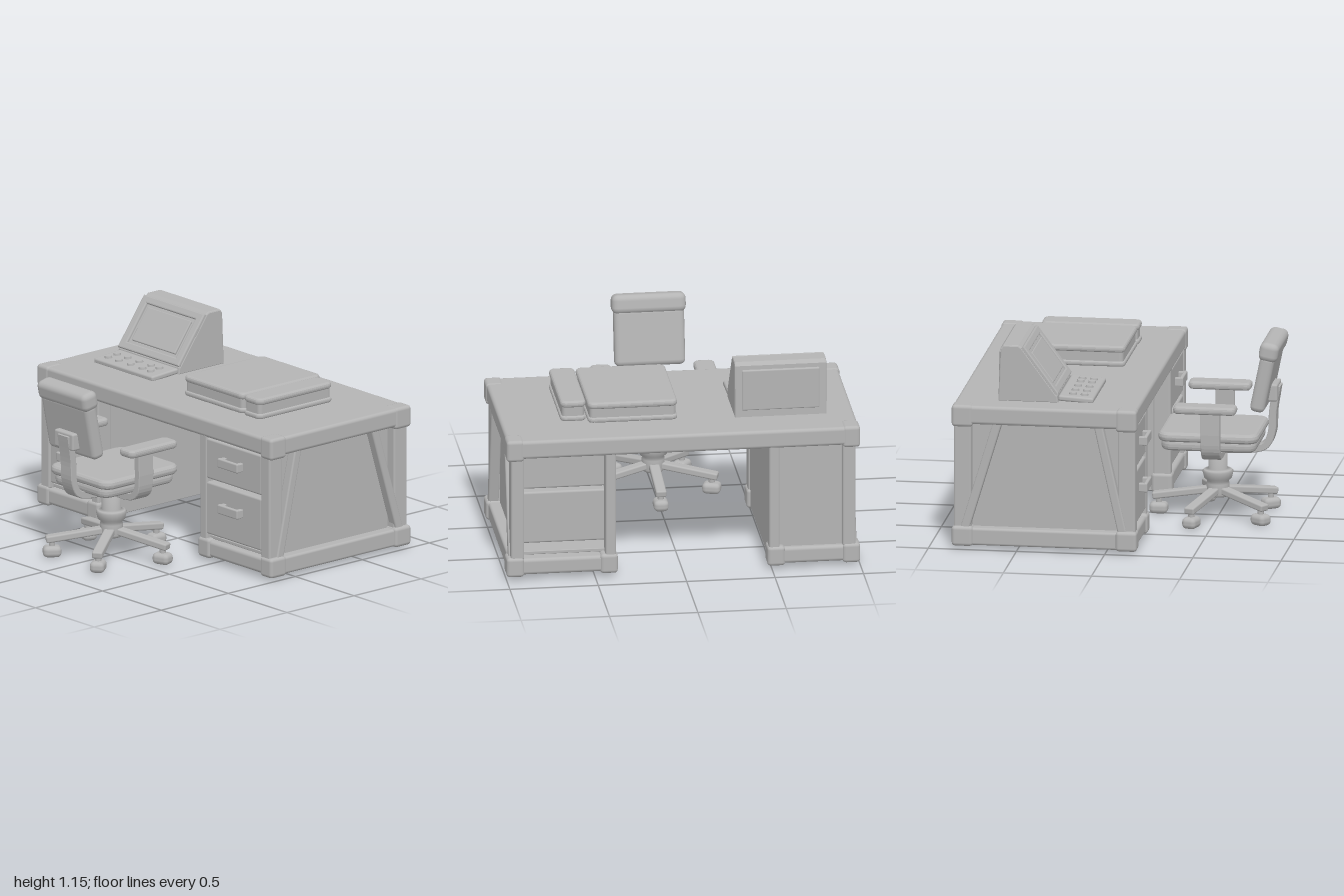
import * as THREE from 'three';
import { RoundedBoxGeometry } from 'three/addons/geometries/RoundedBoxGeometry.js';

const grey = new THREE.MeshStandardMaterial({ color: 0xb4b4b4 });
grey.name = 'plain grey';

function add(parent, name, geometry) {
  const mesh = new THREE.Mesh(geometry, grey);
  mesh.name = name;
  parent.add(mesh);
  return mesh;
}

function group(parent, name) {
  const g = new THREE.Group();
  g.name = name;
  parent.add(g);
  return g;
}

// Box given by its limits on each axis, with softened edges
function block(parent, name, [x0, x1], [y0, y1], [z0, z1], r = 0.012) {
  const w = x1 - x0, h = y1 - y0, d = z1 - z0;
  const radius = Math.min(r, Math.min(w, h, d) * 0.49);
  const mesh = add(parent, name, new RoundedBoxGeometry(w, h, d, 2, radius));
  mesh.position.set((x0 + x1) / 2, (y0 + y1) / 2, (z0 + z1) / 2);
  return mesh;
}

// Horizontal slab with corners of radius r in plan and a soft rim
function slab(parent, name, [x0, x1], [y0, y1], [z0, z1], r, rim) {
  const w = (x1 - x0) / 2 - rim, d = (z1 - z0) / 2 - rim;
  const shape = new THREE.Shape();
  [[w - r, d - r, 0], [r - w, d - r, 1], [r - w, r - d, 2], [w - r, r - d, 3]].forEach(([x, z, q]) =>
    shape.absarc(x, z, r, q * Math.PI / 2, (q + 1) * Math.PI / 2, false));
  const geo = new THREE.ExtrudeGeometry(shape, {
    depth: y1 - y0 - 2 * rim, bevelSize: rim, bevelThickness: rim, bevelSegments: 3, curveSegments: 5 });
  geo.rotateX(-Math.PI / 2);
  add(parent, name, geo).position.set((x0 + x1) / 2, y0 + rim, (z0 + z1) / 2);
}

// Rectangular bar between two points
function bar(parent, name, a, b, w, t) {
  const from = new THREE.Vector3(...a), to = new THREE.Vector3(...b);
  const mesh = add(parent, name, new RoundedBoxGeometry(w, t, from.distanceTo(to), 2, 0.01));
  mesh.position.copy(from).add(to).multiplyScalar(0.5);
  mesh.quaternion.setFromRotationMatrix(new THREE.Matrix4().lookAt(to, from, new THREE.Vector3(0, 1, 0)));
}

// Flat strap of given width following points in a plane
function strap(parent, name, points, thickness, width) {
  const curve = new THREE.CatmullRomCurve3(points.map(([u, v]) => new THREE.Vector3(u, v, 0)), false, 'centripetal');
  const outer = [], inner = [];
  for (let i = 0; i <= 24; i++) {
    const p = curve.getPoint(i / 24), t = curve.getTangent(i / 24);
    outer.push(new THREE.Vector2(p.x - t.y * thickness / 2, p.y + t.x * thickness / 2));
    inner.unshift(new THREE.Vector2(p.x + t.y * thickness / 2, p.y - t.x * thickness / 2));
  }
  const geo = new THREE.ExtrudeGeometry(new THREE.Shape([...outer, ...inner]), {
    depth: width, bevelSize: 0.004, bevelThickness: 0.004, bevelSegments: 1 });
  geo.translate(0, 0, -width / 2);
  return add(parent, name, geo);
}

// Drawer pedestal between x = inner and x = outer
function pedestal(parent, name, inner, outer, closedBack) {
  const g = group(parent, name), s = Math.sign(outer);
  const span = (p, q) => [Math.min(p, q), Math.max(p, q)];
  for (const z of [[-0.87, -0.75], [0.06, 0.18]]) {
    const depth = [z[0] + 0.01, z[1] - 0.01];
    block(g, 'footBlock', span(inner, inner + s * 0.1), [0.02, 0.135], z, 0.02);
    block(g, 'footBlock', span(outer, outer - s * 0.1), [0.02, 0.135], z, 0.02);
    block(g, 'cornerPost', span(inner + s * 0.01, inner + s * 0.07), [0.12, 0.74], depth);
    block(g, 'cornerPost', span(outer - s * 0.025, outer - s * 0.1), [0.12, 0.74], depth);
    block(g, 'bottomRail', span(inner + s * 0.05, outer - s * 0.05), [0.03, 0.125], depth, 0.02);
  }
  block(g, 'sideRail', span(outer - s * 0.09, outer - s * 0.015), [0.025, 0.125], [-0.8, 0.1], 0.015);

  // Splayed braces outside the recessed panel
  bar(g, 'frontBrace', [outer - s * 0.045, 0.11, 0.1], [outer - s * 0.045, 0.74, -0.04], 0.06, 0.05);
  bar(g, 'backBrace', [outer - s * 0.045, 0.11, -0.8], [outer - s * 0.045, 0.74, -0.61], 0.06, 0.05);
  const p0 = inner + s * 0.05, p1 = outer - s * 0.1;
  block(g, 'outerPanel', span(p1, p1 + s * 0.02), [0.03, 0.74], [-0.84, 0.15], 0.004);
  block(g, 'innerPanel', span(inner + s * 0.02, p0), [0.03, 0.74], [-0.84, 0.15], 0.004);
  block(g, 'floor', span(p0, p1), [0.13, 0.15], [-0.8, 0.14], 0.004);
  if (closedBack) block(g, 'backPanel', span(p0, p1), [0.05, 0.74], [-0.83, -0.81], 0.004);

  // Drawers with bridge handles
  const mid = (p0 + p1) / 2;
  for (const [y0, y1, h] of [[0.16, 0.465, 0.345], [0.485, 0.72, 0.615]]) {
    block(g, 'drawer', span(p0, p1), [y0, y1], [-0.7, 0.165]);
    block(g, 'drawerHandle', [mid - 0.085, mid + 0.085], [h - 0.027, h + 0.027], [0.19, 0.212], 0.008);
    for (const e of [-0.07, 0.07])
      block(g, 'handleMount', [mid + e - 0.015, mid + e + 0.015], [h - 0.024, h + 0.024], [0.15, 0.2], 0.005);
  }
}

function desk(parent) {
  const g = group(parent, 'desk');
  block(g, 'deskTop', [-0.995, 0.995], [0.725, 0.832], [-0.868, 0.175], 0.02);
  for (const x of [[-1, -0.9], [0.9, 1]])
    for (const z of [[-0.87, -0.75], [0.06, 0.18]])
      block(g, 'topCornerBlock', x, [0.71, 0.836], z, 0.02);
  pedestal(g, 'rightPedestal', -0.475, -1, true);
  pedestal(g, 'leftPedestal', 0.37, 1, false);
}

function terminal(parent) {
  const g = group(parent, 'terminal');
  // Wedge-shaped housing, profile in z and y
  const profile = new THREE.Shape();
  [[-0.295, 0.835], [-0.3, 0.865], [-0.5, 1.135], [-0.515, 1.145], [-0.595, 1.145], [-0.608, 1.13], [-0.62, 0.835]]
    .forEach(([z, y], i) => (i ? profile.lineTo(z, y) : profile.moveTo(z, y)));
  const geo = new THREE.ExtrudeGeometry(profile, { depth: 0.5, bevelSize: 0.008, bevelThickness: 0.01, bevelSegments: 2 });
  geo.translate(0, 0, -0.25).rotateY(-Math.PI / 2);
  add(g, 'housing', geo).position.x = -0.58;

  // Full-width bezel around a recess that holds the screen
  const face = group(g, 'screenFace');
  face.position.set(-0.58, 1.005, -0.397);
  face.rotation.x = -0.637;
  const rect = (P, w, h) => new P([[-w, -h], [w, -h], [w, h], [-w, h]].map(([x, y]) => new THREE.Vector2(x, y)));
  const frame = rect(THREE.Shape, 0.25, 0.158);
  frame.holes.push(rect(THREE.Path, 0.215, 0.13));
  add(face, 'bezel', new THREE.ExtrudeGeometry(frame, {
    depth: 0.012, bevelSize: 0.008, bevelThickness: 0.006, bevelSegments: 2 }));
  block(face, 'screen', [-0.185, 0.185], [-0.105, 0.105], [0, 0.016], 0.006);
  block(g, 'backPlate', [-0.8, -0.36], [0.87, 1.11], [-0.63, -0.605], 0.008);

  // Keypad with two rows of round keys
  const pad = group(g, 'keypad');
  pad.position.set(-0.57, 0.85, -0.19);
  pad.rotation.x = 0.06;
  block(pad, 'keypadBase', [-0.25, 0.25], [-0.02, 0.013], [-0.1, 0.1]);
  for (const x of [-0.19, -0.1, 0, 0.1, 0.17])
    for (const z of [-0.025, 0.04])
      add(pad, 'key', new THREE.CylinderGeometry(0.02, 0.024, 0.02, 14)).position.set(x, 0.015, z);
}

function cases(parent) {
  const g = group(parent, 'deskCases');
  for (const [x0, x1, z0, z1] of [[0.003, 0.51, -0.63, -0.035], [0.515, 0.66, -0.585, -0.03]]) {
    slab(g, 'caseBase', [x0, x1], [0.835, 0.865], [z0, z1], 0.02, 0.012);
    slab(g, 'caseBody', [x0 + 0.01, x1 - 0.01], [0.85, 0.93], [z0 + 0.01, z1 - 0.01], 0.015, 0.008);
    slab(g, 'caseLid', [x0, x1], [0.915, 0.953], [z0, z1], 0.02, 0.016);
  }
}

function chair(parent) {
  const g = group(parent, 'chair');
  const cz = 0.495;
  // Five-legged base with casters
  for (let i = 0; i < 5; i++) {
    const leg = group(g, 'baseLeg');
    leg.position.z = cz;
    leg.rotation.y = Math.PI + i * Math.PI * 2 / 5;
    bar(leg, 'legBar', [0, 0.155, 0.03], [0, 0.105, 0.37], 0.06, 0.04);
    add(leg, 'casterStem', new THREE.CylinderGeometry(0.018, 0.018, 0.05, 10)).position.set(0, 0.08, 0.335);
    block(leg, 'caster', [-0.042, 0.042], [0.003, 0.068], [0.283, 0.387], 0.026);
  }
  // Hub and gas column
  const column = [[0, 0.115], [0.055, 0.115], [0.065, 0.13], [0.065, 0.19], [0.06, 0.205], [0.078, 0.22], [0.088, 0.26],
    [0.078, 0.27], [0.055, 0.275], [0.055, 0.4], [0, 0.4]].map(p => new THREE.Vector2(...p));
  add(g, 'column', new THREE.LatheGeometry(column, 20)).position.z = cz;

  // Seat
  slab(g, 'seatShell', [-0.235, 0.225], [0.42, 0.485], [0.2, 0.74], 0.04, 0.025);
  slab(g, 'seatCushion', [-0.26, 0.25], [0.475, 0.53], [0.185, 0.755], 0.045, 0.025);
  block(g, 'seatPlate', [-0.1, 0.1], [0.385, 0.43], [0.42, 0.6], 0.01);

  // Arm supports and pads
  const support = strap(g, 'armSupport', [[-0.28, 0.68], [-0.28, 0.48], [-0.265, 0.43], [-0.22, 0.4], [0, 0.4],
    [0.22, 0.4], [0.265, 0.43], [0.28, 0.48], [0.28, 0.68]], 0.034, 0.1);
  support.position.set(-0.005, 0, cz);
  for (const x of [-0.302, 0.283])
    slab(g, 'armPad', [x - 0.06, x + 0.06], [0.665, 0.71], [0.29, 0.645], 0.015, 0.018);

  // Back strap sweeping up from under the seat
  const back = strap(g, 'backStrap', [[0.5, 0.4], [0.68, 0.4], [0.77, 0.425], [0.805, 0.5], [0.812, 0.62], [0.835, 0.77]], 0.034, 0.085);
  back.rotation.y = -Math.PI / 2;
  back.position.x = -0.005;
  block(g, 'backClip', [-0.09, 0.07], [0.69, 0.79], [0.785, 0.845], 0.012);

  // Tilted backrest with a padded top roll
  const rest = group(g, 'backrest');
  rest.position.set(-0.012, 0.81, 0.773);
  rest.rotation.x = 0.2;
  block(rest, 'backCushion', [-0.2, 0.2], [-0.16, 0.17], [-0.042, 0.042], 0.03);
  block(rest, 'backTopRoll', [-0.21, 0.21], [0.14, 0.25], [-0.055, 0.055], 0.035);
}

export function createModel() {
  const model = new THREE.Group();
  model.name = 'deskAndChair';
  desk(model);
  terminal(model);
  cases(model);
  chair(model);
  return model;
}
